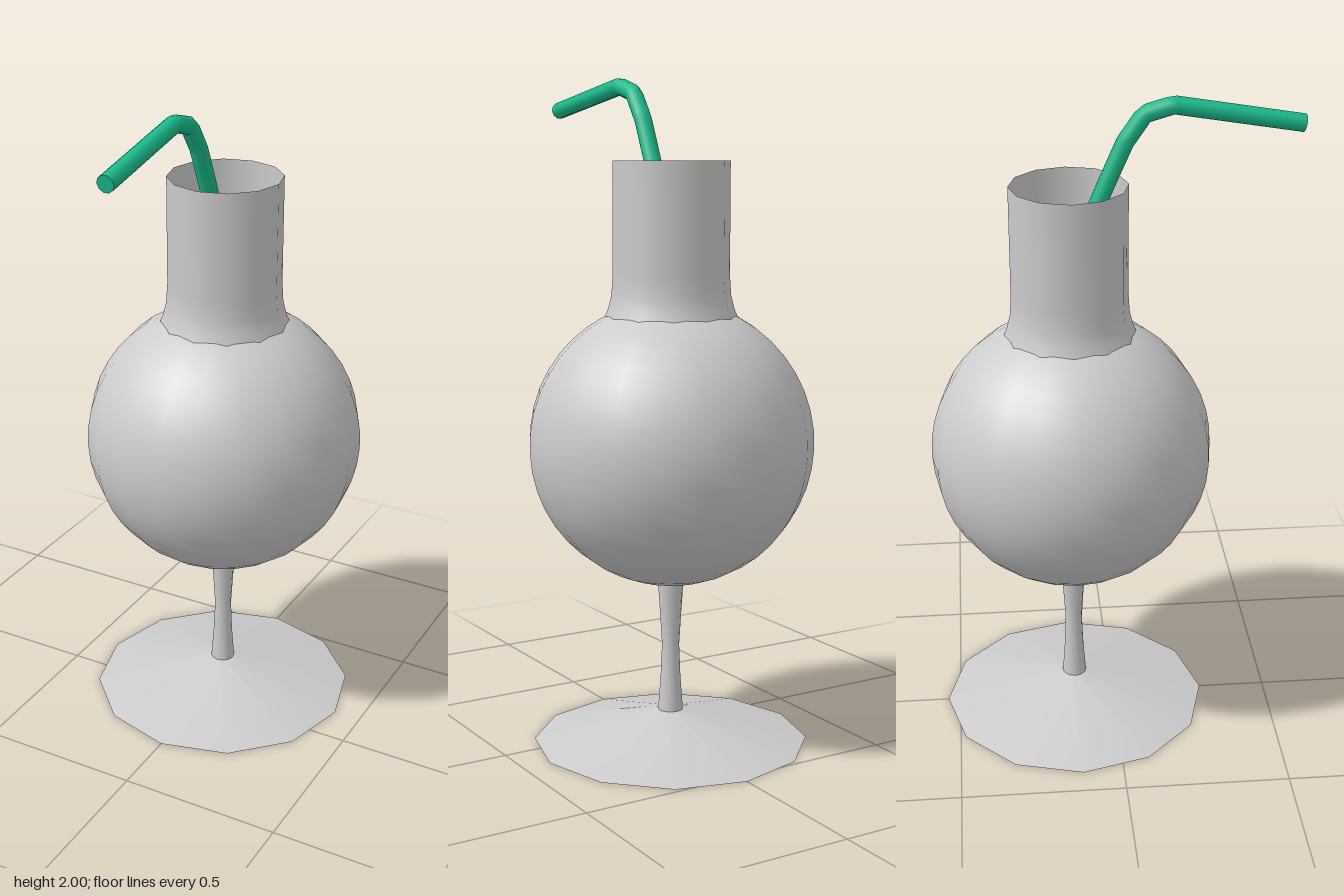
import * as THREE from 'three';

const AXIS_Z = -0.125; // the glass stands behind the centre, the straw reaches forward

export function createModel() {
  const group = new THREE.Group();
  const glass = new THREE.MeshStandardMaterial({ color: 0xcccccc, side: THREE.DoubleSide });
  const red = new THREE.MeshStandardMaterial({ color: 0xb03030, side: THREE.DoubleSide });
  const green = new THREE.MeshStandardMaterial({ color: 0x1abc8c, side: THREE.DoubleSide });

  const add = (name, geometry, material, y = 0, z = AXIS_Z) => {
    const mesh = new THREE.Mesh(geometry, material);
    mesh.name = name;
    mesh.position.set(0, y, z);
    group.add(mesh);
    return mesh;
  };
  const lathe = (points, sides) =>
    new THREE.LatheGeometry(points.map(([r, y]) => new THREE.Vector2(r, y)), sides);

  // Foot: shallow cone with a flat underside
  add('foot', lathe([[0.415, 0.003], [0.035, 0.097]], 12), glass);
  add('footUnderside', new THREE.CircleGeometry(0.415, 12).rotateX(Math.PI / 2), glass, 0.002);

  // Waisted stem
  add('stem', lathe([[0.038, 0.09], [0.03, 0.2], [0.026, 0.3], [0.032, 0.4], [0.041, 0.53]], 12), glass);

  // Round bowl, open at the top under the neck
  const opening = Math.asin(0.145 / 0.425);
  add('bowl', new THREE.SphereGeometry(0.425, 20, 20, 0, Math.PI * 2, opening, Math.PI - opening), glass, 0.92);

  // Neck flaring onto the bowl
  add('neck', lathe([
    [0.2, 1.285], [0.186, 1.32], [0.176, 1.36], [0.172, 1.42], [0.172, 1.75],
  ], 12), glass);

  // Ledge around the mouth of the bowl
  add('mouthLedge', new THREE.RingGeometry(0.145, 0.18, 12).rotateX(-Math.PI / 2), glass, 1.322);

  // Drink filling the bowl
  const level = 1.1;
  const drinkRadius = 0.4;
  const fill = Math.acos((level - 0.92) / drinkRadius);
  add('drink', new THREE.SphereGeometry(drinkRadius, 20, 12, 0, Math.PI * 2, fill, Math.PI - fill), red, 0.92);
  add('drinkSurface', new THREE.CircleGeometry(drinkRadius * Math.sin(fill), 20).rotateX(-Math.PI / 2), red, level);

  // Bent straw leaning on the neck
  const points = [
    [0, 0.85, -0.39], [0, 1.75, -0.018], [0, 1.87, 0.035],
    [0, 1.95, 0.09], [0, 1.974, 0.172], [0.012, 1.91, 0.547],
  ].map((p) => new THREE.Vector3(...p));
  const path = new THREE.CurvePath();
  for (let i = 1; i < points.length; i++) path.add(new THREE.LineCurve3(points[i - 1], points[i]));
  add('straw', new THREE.TubeGeometry(path, 80, 0.026, 10), green, 0, 0);

  // Straw ends
  [[points[0], points[1]], [points[5], points[4]]].forEach(([end, inner]) => {
    const cap = add('strawEnd', new THREE.CircleGeometry(0.026, 10), green, 0, 0);
    cap.position.copy(end);
    cap.quaternion.setFromUnitVectors(new THREE.Vector3(0, 0, 1), end.clone().sub(inner).normalize());
  });

  return group;
}
